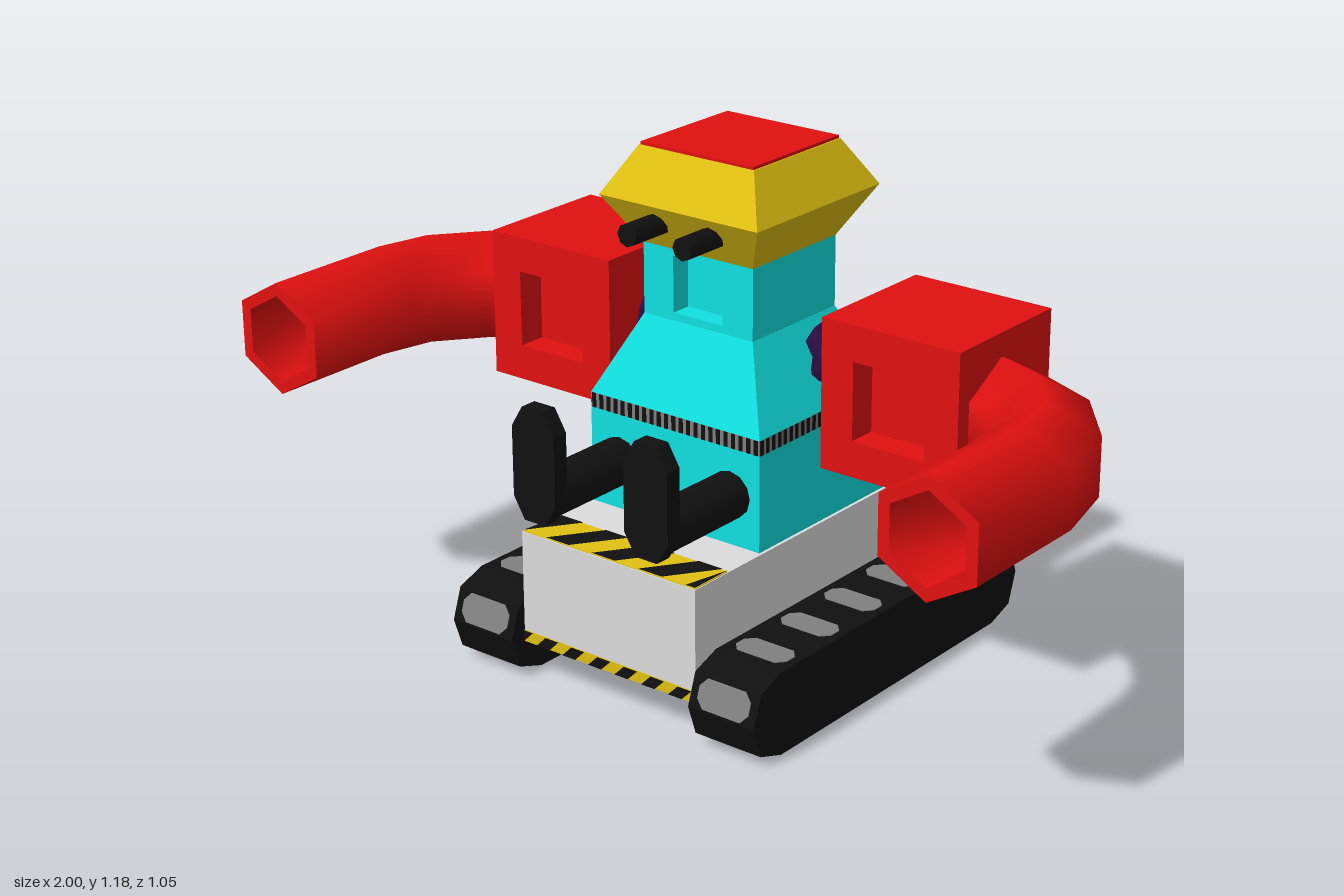
import * as THREE from 'three';
import { toCreasedNormals } from 'three/addons/utils/BufferGeometryUtils.js';

const material = (name, color) => {
  const m = new THREE.MeshStandardMaterial({ color });
  m.name = name;
  return m;
};

export function createModel() {
  const teal = material('teal', 0x10e0e0);
  const red = material('red', 0xe01010);
  const yellow = material('yellow', 0xe0c012);
  const black = material('black', 0x101010);
  const lightGrey = material('light grey', 0xdcdcdc);
  const midGrey = material('mid grey', 0x808080);
  const purple = material('purple', 0x301050);

  const root = new THREE.Group();
  root.name = 'trackedRobot';
  const Z = -0.027; // centre of the torso front to back

  const add = (parent, name, geometry, mat, x = 0, y = 0, z = 0) => {
    const mesh = new THREE.Mesh(geometry, mat);
    mesh.name = name;
    mesh.position.set(x, y, z);
    parent.add(mesh);
    return mesh;
  };
  const box = (parent, name, mat, w, h, d, x, y, z) =>
    add(parent, name, new THREE.BoxGeometry(w, h, d), mat, x, y, z);

  const polygon = (pts) => new THREE.Shape(pts.map(([x, y]) => new THREE.Vector2(x, y)));
  const extrude = (shape, depth) => new THREE.ExtrudeGeometry(shape, { depth, bevelEnabled: false });
  const octagon = (w, h, cx, cy) => polygon([
    [-w + cx, -h], [w - cx, -h], [w, -h + cy], [w, h - cy],
    [w - cx, h], [-w + cx, h], [-w, h - cy], [-w, -h + cy]]);

  // Box whose top is scaled to another width and depth
  const frustum = (w0, d0, w1, d1, h) => {
    const g = new THREE.BoxGeometry(w0, h, d0);
    const p = g.attributes.position;
    for (let i = 0; i < p.count; i++) {
      if (p.getY(i) > 0) {
        p.setX(i, Math.sign(p.getX(i)) * w1 / 2);
        p.setZ(i, Math.sign(p.getZ(i)) * d1 / 2);
      }
    }
    g.computeVertexNormals();
    return g;
  };

  // Box with a rectangular recess in its front face
  const recessedBox = (parent, name, mat, w, h, d, holeW, holeH, depth, x, y, z) => {
    const g = new THREE.Group();
    g.name = name;
    g.position.set(x, y, z);
    parent.add(g);
    const rect = (a, b) => [[-a / 2, -b / 2], [a / 2, -b / 2], [a / 2, b / 2], [-a / 2, b / 2]];
    const frame = polygon(rect(w, h));
    frame.holes.push(polygon(rect(holeW, holeH).reverse()));
    add(g, name + 'Frame', extrude(frame, depth), mat, 0, 0, d / 2 - depth);
    box(g, name + 'Back', mat, w, h, d - depth, 0, 0, -depth / 2);
  };

  // Yellow plate with slanted black stripes, facing +z before it is turned
  const hazard = (name, w, h, pitch, position, rotX, rotY = 0) => {
    const g = new THREE.Group();
    g.name = name;
    g.position.set(...position);
    g.rotation.set(rotX, rotY, 0);
    root.add(g);
    box(g, name + 'Base', yellow, w, h, 0.004, 0, 0, 0);
    const clamp = (x) => Math.max(-w / 2, Math.min(w / 2, x));
    for (let x = -w / 2 - pitch / 2; x < w / 2 - 0.005; x += pitch) {
      const lean = Math.min(h, pitch * 0.6);
      const stripe = polygon([
        [clamp(x), -h / 2], [clamp(x + pitch / 2), -h / 2],
        [clamp(x + pitch / 2 + lean), h / 2], [clamp(x + lean), h / 2]]);
      add(g, name + 'Stripe', new THREE.ShapeGeometry(stripe), black, 0, 0, 0.004);
    }
  };

  // Chassis with warning strips
  box(root, 'chassis', lightGrey, 0.485, 0.265, 0.92, 0, 0.2225, -0.025);
  hazard('topHazard', 0.48, 0.11, 0.13, [0, 0.355, 0.377], -Math.PI / 2);
  hazard('bottomHazard', 0.48, 0.11, 0.13, [0, 0.09, 0.377], Math.PI / 2);
  hazard('frontHazard', 0.485, 0.027, 0.075, [0, 0.104, 0.435], 0);
  hazard('backHazard', 0.485, 0.027, 0.075, [0, 0.104, -0.485], 0, Math.PI);

  // Tracks: profile in (z, y), pads as [z, y, outward z, outward y]
  const trackProfile = polygon([
    [0.47, 0.1], [0.445, 0.173], [0.375, 0.198], [-0.43, 0.198], [-0.5, 0.173],
    [-0.525, 0.1], [-0.5, 0.027], [-0.43, 0.003], [0.375, 0.003], [0.445, 0.027]].reverse());
  const pads = [
    [0.4575, 0.1365, 0.95, 0.32], [0.41, 0.015, 0.33, -0.94],
    [-0.465, 0.1855, -0.33, 0.94], [-0.5125, 0.0635, -0.95, -0.32]];
  for (let i = 0; i < 5; i++) {
    pads.push([-0.315 + i * 0.158, 0.198, 0, 1], [-0.375 + i * 0.158, 0.003, 0, -1]);
  }
  for (const s of [-1, 1]) {
    const track = new THREE.Group();
    track.name = s > 0 ? 'leftTrack' : 'rightTrack';
    track.position.x = s * 0.338;
    root.add(track);
    const belt = add(track, 'belt', extrude(trackProfile, 0.175).translate(0, 0, -0.0875), black);
    belt.rotation.y = -Math.PI / 2;
    for (const [z, y, nz, ny] of pads) {
      const pad = add(track, 'trackPad',
        extrude(octagon(0.068, 0.034, 0.018, 0.02), 0.004).translate(0, 0, -0.002), midGrey, 0, y, z);
      pad.rotation.x = Math.atan2(-ny, nz);
    }
  }

  // Torso, ribbed belt, shoulders and neck
  box(root, 'lowerTorso', teal, 0.47, 0.225, 0.465, 0, 0.4675, Z);
  box(root, 'waistBand', midGrey, 0.47, 0.035, 0.465, 0, 0.5975, Z);
  for (let i = -11; i <= 11; i++) {
    const t = i * 0.0205;
    box(root, 'waistRib', black, 0.01, 0.034, 0.004, t, 0.5975, Z + 0.2325);
    for (const s of [-1, 1]) box(root, 'waistRib', black, 0.004, 0.034, 0.01, s * 0.235, 0.5975, Z + t);
  }
  add(root, 'upperTorso', frustum(0.47, 0.465, 0.3, 0.295, 0.18), teal, 0, 0.705, Z);
  recessedBox(root, 'neck', teal, 0.3, 0.17, 0.295, 0.135, 0.13, 0.05, 0, 0.878, Z);

  // Head
  add(root, 'lowerHead', frustum(0.3, 0.295, 0.43, 0.435, 0.112), yellow, 0, 1.015, Z);
  add(root, 'upperHead', frustum(0.43, 0.435, 0.312, 0.305, 0.107), yellow, 0, 1.1245, Z);
  box(root, 'headCap', red, 0.306, 0.008, 0.3, 0, 1.181, Z);

  // Hollow six-sided arm swept along a flat path; rows are [x, z, radius]
  const armRows = [
    [0.6, -0.09, 0.133], [0.66, -0.085, 0.133], [0.76, -0.045, 0.133], [0.853, 0.07, 0.133],
    [0.883, 0.2, 0.133], [0.883, 0.525, 0.133], [0.883, 0.525, 0.102], [0.883, 0.28, 0.102],
    [0.883, 0.28, 0.001]];
  const armGeometry = (side) => {
    const n = 6, pos = [], idx = [];
    armRows.forEach(([x, z, r], i) => {
      const a = armRows[Math.max(0, Math.min(i, 5) - 1)], b = armRows[Math.min(5, i + 1)];
      const dir = i >= 5 ? [0, 1] : [b[0] - a[0], b[1] - a[1]];
      const len = Math.hypot(...dir);
      for (let k = 0; k < n; k++) {
        const t = k / n * Math.PI * 2;
        const out = Math.sin(t) * r;
        pos.push(side * (x + out * dir[1] / len), 0.683 + Math.cos(t) * r, z - out * dir[0] / len);
      }
      if (i === 0) return;
      for (let k = 0; k < n; k++) {
        const p = (i - 1) * n + k, q = (i - 1) * n + (k + 1) % n;
        const quad = [p, p + n, q, q, p + n, q + n];
        idx.push(...(side > 0 ? quad.reverse() : quad));
      }
    });
    const g = new THREE.BufferGeometry();
    g.setAttribute('position', new THREE.Float32BufferAttribute(pos, 3));
    g.setIndex(idx);
    return toCreasedNormals(g, 1.2);
  };
  const armMaterial = red.clone();
  armMaterial.side = THREE.DoubleSide;

  // Zigzag bellows between torso and shoulder box
  const bellows = [];
  for (let i = 0; i <= 12; i++) bellows.push(new THREE.Vector2(i % 2 ? 0.083 : 0.062, -0.09 + i * 0.015));

  // Mirrored parts: shoulders, arms, guns and eyes
  for (const s of [-1, 1]) {
    recessedBox(root, 'shoulderBox', red, 0.35, 0.345, 0.345, 0.185, 0.18, 0.07, s * 0.47, 0.6975, -0.103);
    add(root, 'arm', armGeometry(s), armMaterial);
    const joint = add(root, 'shoulderBellows',
      toCreasedNormals(new THREE.LatheGeometry(bellows, 16), 0.5), purple, s * 0.215, 0.7, -0.105);
    joint.rotation.z = Math.PI / 2;

    const barrel = add(root, 'frontStrut', new THREE.CylinderGeometry(0.054, 0.054, 0.27, 12), black, s * 0.155, 0.472, 0.325);
    barrel.rotation.x = Math.PI / 2;
    add(root, 'frontPlate', extrude(octagon(0.059, 0.131, 0.03, 0.05), 0.04), black, s * 0.155, 0.549, 0.448);

    const eye = add(root, 'eyeStalk', new THREE.CylinderGeometry(0.026, 0.026, 0.16, 8), black, s * 0.075, 1.025, 0.185);
    eye.rotation.x = Math.PI / 2;
  }
  return root;
}
